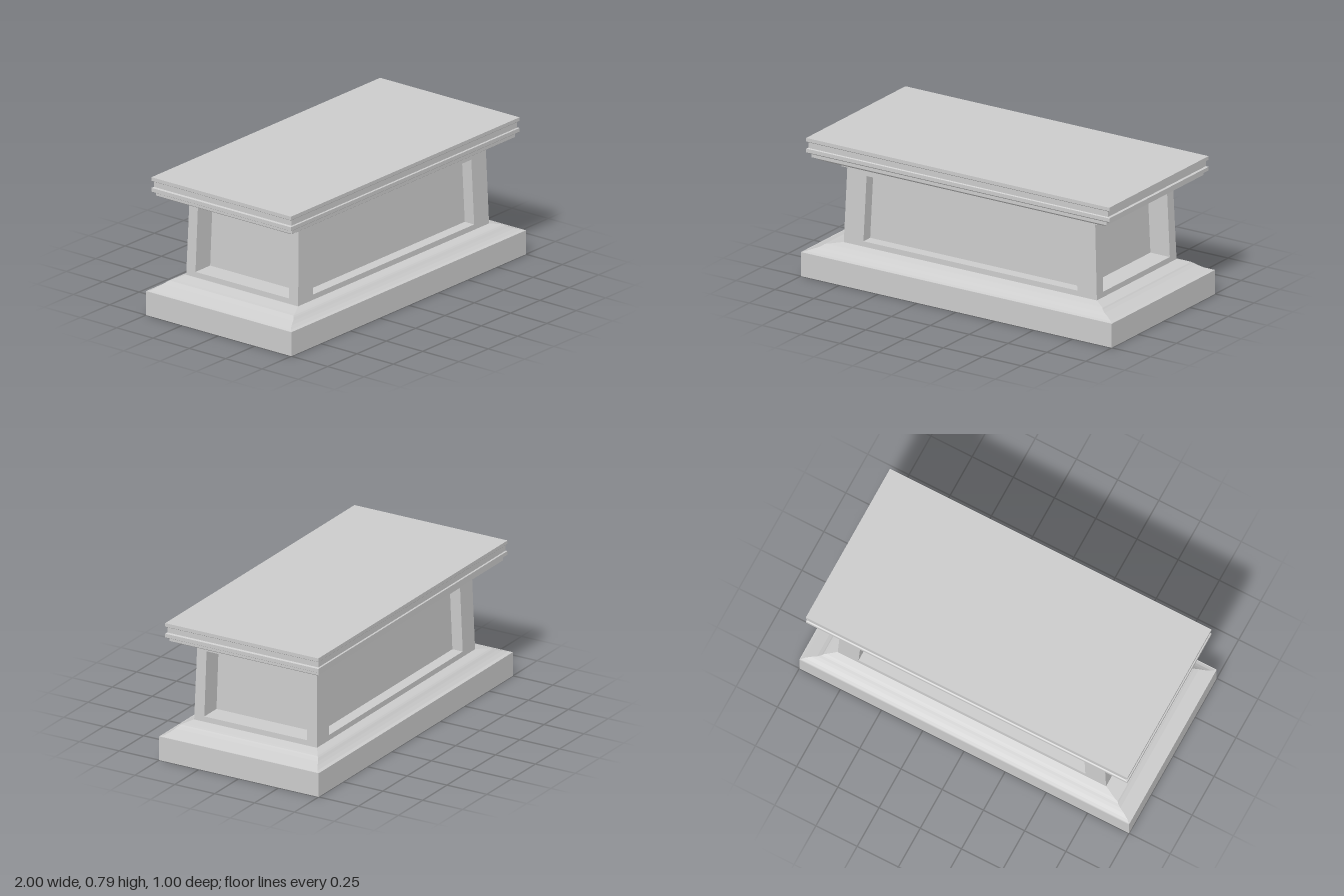
import * as THREE from 'three';

const material = new THREE.MeshStandardMaterial({ color: 0xcccccc, flatShading: true });

// Skin a stack of four-cornered rings, optionally closing both ends
function loft(name, rings, capStart = true, capEnd = true) {
  const pos = [];
  const quad = (a, b, c, d) => [a, b, c, a, c, d].forEach(p => pos.push(...p));
  for (let r = 0; r < rings.length - 1; r++) {
    const lo = rings[r], hi = rings[r + 1];
    for (let i = 0; i < 4; i++) {
      const j = (i + 1) % 4;
      quad(lo[i], lo[j], hi[j], hi[i]);
    }
  }
  if (capStart) quad(...[...rings[0]].reverse());
  if (capEnd) quad(...rings[rings.length - 1]);
  const geo = new THREE.BufferGeometry();
  geo.setAttribute('position', new THREE.Float32BufferAttribute(pos, 3));
  geo.computeVertexNormals();
  const mesh = new THREE.Mesh(geo, material);
  mesh.name = name;
  return mesh;
}

// Horizontal rectangle: height, half width, half depth, x offset
const rect = ([y, hx, hz, cx = 0]) =>
  [[cx - hx, y, hz], [cx + hx, y, hz], [cx + hx, y, -hz], [cx - hx, y, -hz]];

// Leaning wall with a recessed panel, turned to face one of the four sides
const Y0 = 0.2, Y1 = 0.635, P0 = 0.23, P1 = 0.603;
function wall(name, turn, { w, d, panel, depth }) {
  const c = Math.round(Math.cos(turn)), s = Math.round(Math.sin(turn));
  const ring = (u0, u1, y0, y1, inset) => {
    const at = (u, y) => {
      const out = THREE.MathUtils.mapLinear(y, Y0, Y1, d[0], d[1]) - inset;
      return [u * c + out * s, y, -u * s + out * c];
    };
    return [at(-u0, y0), at(u0, y0), at(u1, y1), at(-u1, y1)];
  };
  return loft(name, [
    ring(w[0], w[1], Y0, Y1, 0),
    ring(panel[0], panel[1], P0, P1, 0),
    ring(panel[0], panel[1], P0, P1, depth),
  ], false, true);
}

export function createModel() {
  const model = new THREE.Group();

  // Plinth slab
  model.add(loft('plinth', [[0, 1, 0.5], [0.137, 1, 0.5]].map(rect)));

  // Sloping base moulding
  model.add(loft('baseMoulding', [
    [0.137, 0.995, 0.495], [0.142, 0.98, 0.48], [0.154, 0.95, 0.462],
    [0.166, 0.92, 0.448], [0.178, 0.9, 0.436], [0.184, 0.893, 0.428],
    [0.188, 0.875, 0.42, 0.005], [0.2, 0.817, 0.386, 0.013],
  ].map(rect)));

  // Pedestal body with panels on all four sides
  const body = new THREE.Group();
  body.name = 'body';
  body.position.x = 0.014;
  const long = { w: [0.814, 0.797], d: [0.385, 0.376], panel: [0.688, 0.673], depth: 0.065 };
  const short = { w: [0.385, 0.376], d: [0.814, 0.797], panel: [0.322, 0.317], depth: 0.125 };
  ['frontWall', 'leftWall', 'backWall', 'rightWall'].forEach((name, i) =>
    body.add(wall(name, i * Math.PI / 2, i % 2 ? short : long)));
  model.add(body);

  // Collar under the cornice
  model.add(loft('collar', [[0.632, 0.822, 0.39, 0.012], [0.645, 0.822, 0.39, 0.012]].map(rect)));

  // Stepped cornice
  model.add(loft('cornice', [
    [0.644, 0.872, 0.405], [0.659, 0.908, 0.435], [0.661, 0.92, 0.44],
    [0.668, 0.925, 0.447], [0.676, 0.93, 0.45], [0.678, 0.95, 0.467],
    [0.696, 0.95, 0.467], [0.698, 0.962, 0.47], [0.705, 0.975, 0.48],
    [0.726, 0.975, 0.48], [0.73, 0.963, 0.473], [0.763, 0.963, 0.473],
  ].map(([y, x, z]) => rect([y, x, z, -0.004]))));

  // Top slab
  model.add(loft('topSlab', [
    [0.763, 0.969, 0.476, -0.004], [0.767, 0.975, 0.48, -0.004], [0.787, 0.975, 0.48, -0.004],
  ].map(rect)));

  return model;
}
